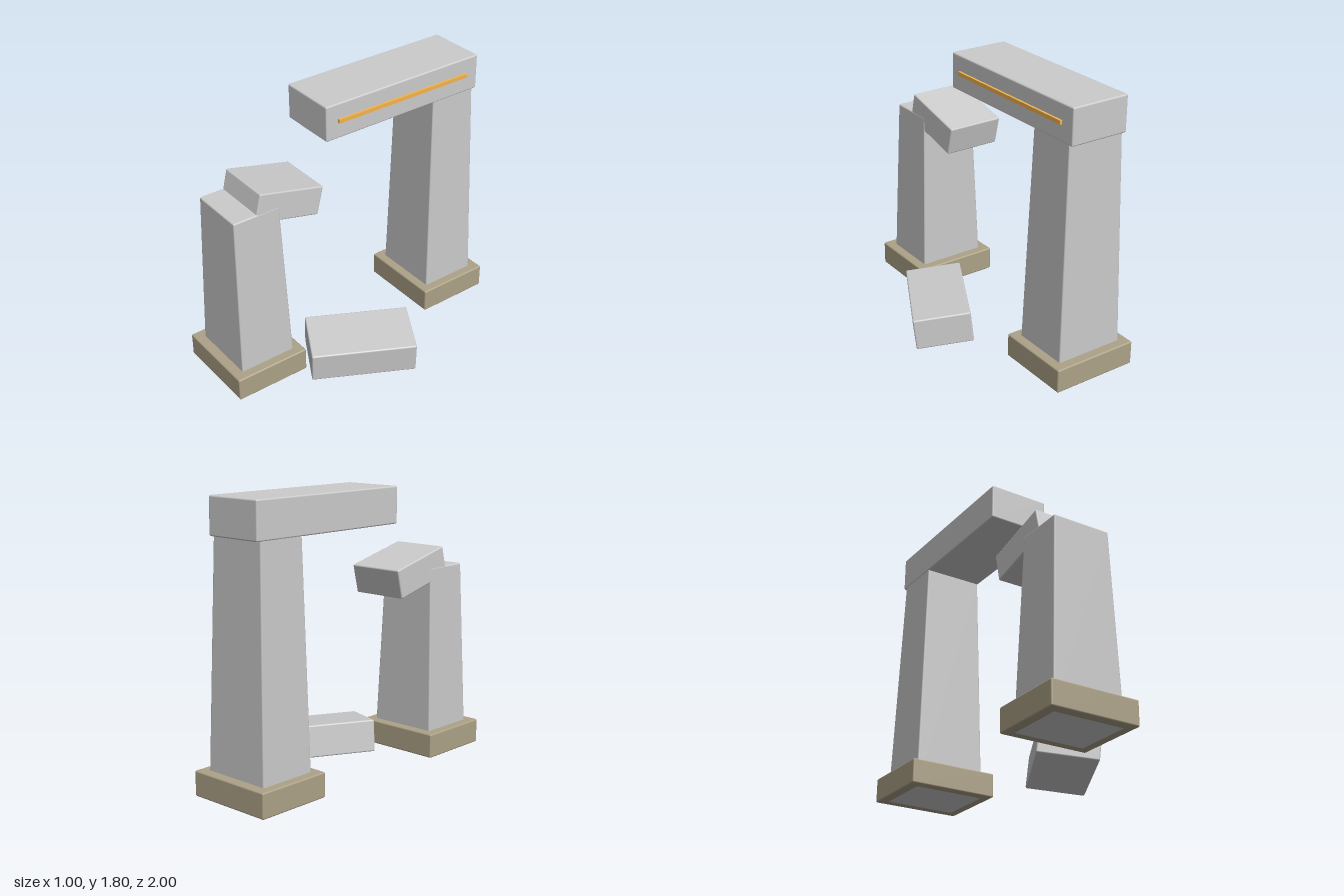
import * as THREE from 'three';
import { RoundedBoxGeometry } from 'three/addons/geometries/RoundedBoxGeometry.js';

const stone = new THREE.MeshStandardMaterial({ color: 0xcccccc });
const plinthStone = new THREE.MeshStandardMaterial({ color: 0xada288 });
const amber = new THREE.MeshStandardMaterial({ color: 0xf5b54f });

const AXIS_X = -0.215; // centre line of the gateway
const PILLAR_Z = 0.745;
const GROUND = 0.035;

// Stone block with slightly worn edges
function block(name, [w, h, d], [x, y, z], material = stone) {
  const mesh = new THREE.Mesh(new RoundedBoxGeometry(w, h, d, 2, 0.01), material);
  mesh.name = name;
  mesh.position.set(x, y, z);
  return mesh;
}

// Block that narrows evenly from its base to its top
function taperedPillar(name, z, top, base, taper) {
  const bottom = GROUND - 0.001;
  const h = top - bottom;
  const mesh = block(name, [base[0], h, base[1]], [AXIS_X, bottom + h / 2, z]);
  const p = mesh.geometry.attributes.position;
  for (let i = 0; i < p.count; i++) {
    const s = 1 - (1 - taper) * (p.getY(i) / h + 0.5);
    p.setX(i, p.getX(i) * s);
    p.setZ(i, p.getZ(i) * s);
  }
  return mesh;
}

export function createModel() {
  const model = new THREE.Group();
  model.name = 'ruinedGateway';

  // Plinths
  for (const [name, side] of [['frontPlinth', 1], ['backPlinth', -1]]) {
    model.add(block(name, [0.575, 0.157, 0.505], [AXIS_X, GROUND + 0.0785, side * 0.7475], plinthStone));
  }

  // Short broken pillar and tall complete pillar
  model.add(taperedPillar('frontPillar', PILLAR_Z, 1.255, [0.465, 0.39], 0.81));
  model.add(taperedPillar('backPillar', -PILLAR_Z, 1.585, [0.465, 0.392], 0.82));

  // Lintel still resting on the tall pillar, with its inlaid strip
  model.add(block('lintel', [0.39, 0.23, 1.175], [AXIS_X, 1.685, -0.3475]));
  const strip = new THREE.Mesh(new THREE.BoxGeometry(0.03, 0.025, 0.995), amber);
  strip.name = 'inlayStrip';
  strip.position.set(-0.02, 1.6875, -0.3425);
  model.add(strip);

  // Tilted lintel stub on the broken pillar
  const stub = block('lintelStub', [0.375, 0.19, 0.46], [AXIS_X, 1.238, 0.51]);
  stub.rotation.x = -0.24;
  model.add(stub);

  // Fallen piece lying beside the plinth
  const fallen = block('fallenBlock', [0.37, 0.21, 0.675], [0.168, 0.128, 0.138]);
  fallen.rotation.set(0, -0.49, -0.11);
  model.add(fallen);

  return model;
}
